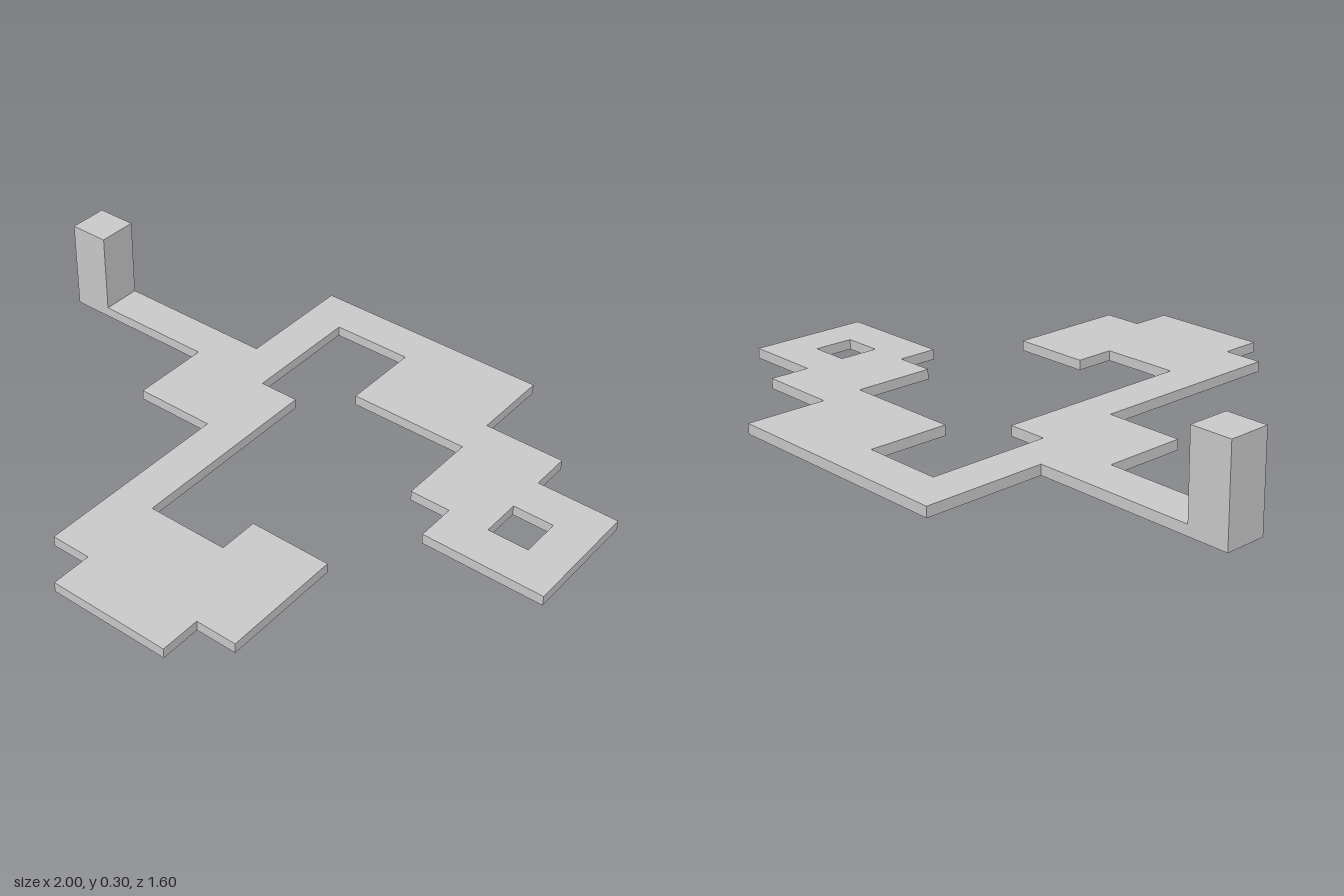
import * as THREE from 'three';

const TILE = 2 / 15;        // floor grid pitch: 15 columns by 12 rows
const THICK = TILE / 4;
const TOP = 0.3;

// Floor plan, back row first; # marks a tile
const PLAN = [
  '.....######....',
  '.....#..###....',
  '.....#..#####..',
  '######.....####',
  '....###....##.#',
  '....###.....###',
  '......#........',
  '......#........',
  '......#..##....',
  '......#####....',
  '......#####....',
  '.......###.....',
];

export function createModel() {
  const model = new THREE.Group();
  model.name = 'tileBridge';
  const stone = new THREE.MeshStandardMaterial({ color: 0xcccccc });
  stone.name = 'light grey';

  const columnX = (c) => -1 + (c + 0.5) * TILE;
  const rowZ = (r) => -0.8 + (r + 0.5) * TILE;

  // Floor tiles
  const floor = new THREE.Group();
  floor.name = 'floor';
  const tileGeometry = new THREE.BoxGeometry(TILE, THICK, TILE);
  PLAN.forEach((row, r) => {
    [...row].forEach((cell, c) => {
      if (cell !== '#') return;
      const tile = new THREE.Mesh(tileGeometry, stone);
      tile.name = 'floorTile';
      tile.position.set(columnX(c), THICK / 2, rowZ(r));
      floor.add(tile);
    });
  });
  model.add(floor);

  // Upright block standing on the end tile
  const block = new THREE.Mesh(new THREE.BoxGeometry(TILE, TOP - THICK, TILE), stone);
  block.name = 'standingBlock';
  block.position.set(columnX(0), (TOP + THICK) / 2, rowZ(3));
  model.add(block);

  return model;
}
